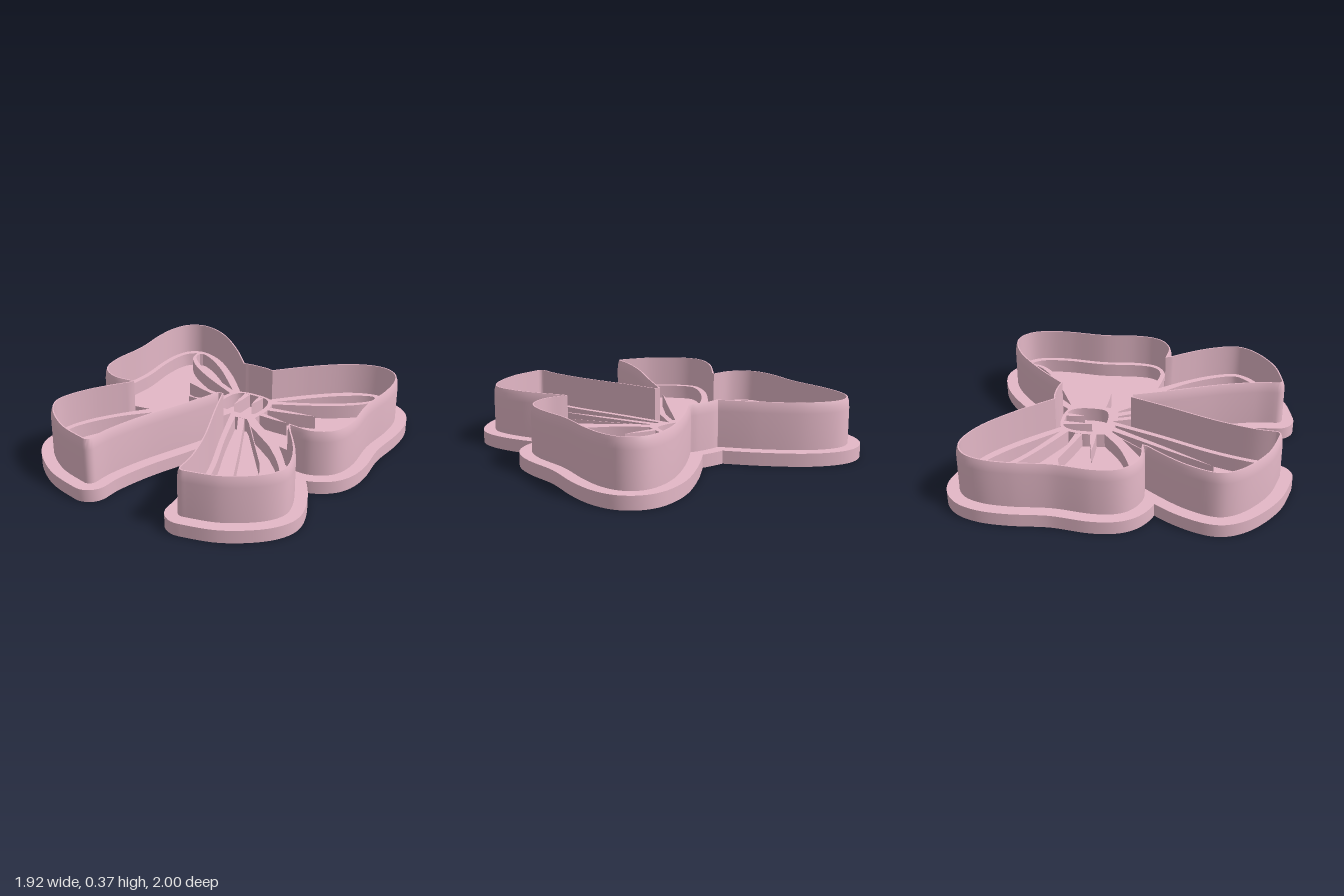
import * as THREE from 'three';
import { toCreasedNormals } from 'three/addons/utils/BufferGeometryUtils.js';

const V = (p) => new THREE.Vector2(p[0], -p[1]); // plan [x, z] to shape plane

// Smooth runs joined at sharp corners; each run is a list of [x, z]
function path(runs, n = 12) {
  const out = [];
  for (const run of runs) {
    const pts = run.map(V);
    const s = pts.length === 2 ? new THREE.LineCurve(...pts) : new THREE.SplineCurve(pts);
    const samples = s.getSpacedPoints(n * (pts.length - 1));
    out.push(...(out.length ? samples.slice(1) : samples));
  }
  return out;
}

const flip = (ring) => ring.map((p) => new THREE.Vector2(-p.x, p.y));
const mirrorRing = (half) => [...half, ...flip(half.slice(1, -1).reverse())];

// Outward normals either side of point i of a clockwise ring
function normalsAt(ring, i) {
  const n = ring.length, p = ring[i];
  const left = (a, b) => { const t = b.clone().sub(a).normalize(); return new THREE.Vector2(-t.y, t.x); };
  return [left(ring[(i + n - 1) % n], p), left(p, ring[(i + 1) % n])];
}

function distanceToRing(ring, p) {
  let best = Infinity;
  ring.forEach((a, i) => {
    const ab = ring[(i + 1) % ring.length].clone().sub(a), ap = p.clone().sub(a);
    const t = THREE.MathUtils.clamp(ap.dot(ab) / ab.lengthSq(), 0, 1);
    best = Math.min(best, ap.sub(ab.multiplyScalar(t)).length());
  });
  return best;
}

// Grow a ring by d, rounding outer corners and trimming inner ones
function grow(ring, d) {
  const out = [];
  ring.forEach((p, i) => {
    const [a, b] = normalsAt(ring, i);
    const turn = Math.atan2(a.cross(b), a.dot(b));
    const steps = turn < -0.25 ? 8 : 0;
    if (!steps) out.push(a.add(b).normalize().multiplyScalar(d).add(p));
    else for (let k = 0; k <= steps; k++)
      out.push(a.clone().rotateAround(new THREE.Vector2(), turn * k / steps).multiplyScalar(d).add(p));
  });
  return out.filter((p) => distanceToRing(ring, p) > d * 0.985);
}

// Flat plate from y0 to y1, with holes; the outline runs anticlockwise so hole walls face inward
function plate(ring, holes, y0, y1) {
  const outline = THREE.ShapeUtils.isClockWise(ring) ? [...ring].reverse() : ring;
  const shape = new THREE.Shape(outline);
  shape.holes = holes.map((h) => new THREE.Path(h));
  const g = new THREE.ExtrudeGeometry(shape, { depth: y1 - y0, bevelEnabled: false });
  g.rotateX(-Math.PI / 2).translate(0, y0, 0);
  return toCreasedNormals(g, 0.5);
}

// Sweep a closed [inset, y] section round a ring
function sweep(ring, section) {
  const n = ring.length, m = section.length, pos = [], idx = [];
  for (const [inset, y] of section) {
    ring.forEach((p, i) => {
      const [a, b] = normalsAt(ring, i);
      const mid = a.clone().add(b).normalize();
      const q = p.clone().addScaledVector(mid, -inset / Math.max(0.5, mid.dot(a)));
      pos.push(q.x, y, -q.y);
    });
  }
  for (let j = 0; j < m; j++) for (let i = 0; i < n; i++) {
    const k = (i + 1) % n, r = j * n, s = ((j + 1) % m) * n;
    idx.push(r + i, s + i, r + k, r + k, s + i, s + k);
  }
  const g = new THREE.BufferGeometry();
  g.setAttribute('position', new THREE.Float32BufferAttribute(pos, 3));
  g.setIndex(idx);
  return toCreasedNormals(g, 0.5);
}

// Leaf-like outline from a base edge a-b to a tip
function leaf(a, b, tip) {
  const [A, B, T] = [a, b, tip].map(V);
  const mid = A.clone().lerp(B, 0.5);
  const at = (p) => mid.clone().lerp(T, 0.55).addScaledVector(p.clone().sub(mid), 0.62);
  return [A, at(A), T, at(B), B];
}

export function createModel() {
  const group = new THREE.Group();
  const pink = new THREE.MeshStandardMaterial({ color: 0xe3b7c6 });
  pink.name = 'dusty pink';
  const add = (name, geometry) => {
    const mesh = new THREE.Mesh(geometry, pink);
    mesh.name = name;
    group.add(mesh);
  };

  // Bow outline: neck, loop, tail, inner edge of tail
  const bow = mirrorRing(path([
    [[0, -0.464], [0.06, -0.461], [0.115, -0.447]],
    [[0.115, -0.447], [0.3, -0.645], [0.5, -0.812], [0.67, -0.88], [0.775, -0.845], [0.825, -0.74],
      [0.835, -0.58], [0.817, -0.34], [0.838, -0.1], [0.808, 0.04], [0.71, 0.108], [0.6, 0.107], [0.48, 0.09]],
    [[0.48, 0.09], [0.6, 0.24], [0.705, 0.4], [0.763, 0.55], [0.752, 0.64], [0.67, 0.735], [0.52, 0.83], [0.335, 0.88]],
    [[0.335, 0.88], [0.32, 0.74], [0.25, 0.5], [0.12, 0.18], [0, -0.14]],
  ]));

  // Cutter: base flange and tapered blade
  const bladeInner = grow(bow, 0.025);
  add('cutterFlange', plate(grow(bow, 0.12), [bladeInner], 0, 0.08));
  add('cutterBlade', sweep(grow(bow, 0.045), [
    [0, 0.07], [0, 0.3], [0.004, 0.34], [0.012, 0.365], [0.02, 0.365], [0.02, 0.07],
  ]));

  // Stamp: flat plate with a raised rim left around sunken floors
  const loopFloor = path([
    [[0.16, -0.39], [0.4, -0.515], [0.58, -0.63], [0.69, -0.74], [0.72, -0.84]],
    [[0.72, -0.84], [0.782, -0.76], [0.8, -0.58], [0.782, -0.34], [0.8, -0.1], [0.782, 0.025],
      [0.7, 0.08], [0.55, 0.06], [0.33, -0.035], [0.165, -0.16]],
    [[0.165, -0.16], [0.178, -0.25], [0.178, -0.32], [0.16, -0.39]],
  ], 6).slice(0, -1);
  const foldFloor = path([
    [[0.17, -0.44], [0.4, -0.67], [0.56, -0.795], [0.65, -0.842], [0.69, -0.84], [0.69, -0.79],
      [0.64, -0.725], [0.52, -0.63], [0.38, -0.545], [0.17, -0.44]],
  ], 6).slice(0, -1);
  const tailFloor = path([
    [[0.05, -0.11], [0.13, -0.12]],
    [[0.13, -0.12], [0.2, -0.05], [0.31, 0.03]],
    [[0.31, 0.03], [0.43, 0.12]],
    [[0.43, 0.12], [0.57, 0.27], [0.675, 0.43], [0.728, 0.56], [0.715, 0.63], [0.63, 0.72], [0.5, 0.805], [0.36, 0.848]],
    [[0.36, 0.848], [0.352, 0.74], [0.285, 0.5], [0.155, 0.18], [0.05, -0.11]],
  ], 6).slice(0, -1);
  const knotFloor = mirrorRing(path([
    [[0, -0.442], [0.09, -0.435], [0.132, -0.385], [0.145, -0.3], [0.132, -0.21], [0.08, -0.178], [0, -0.17]],
  ], 6));
  const sideFloors = [loopFloor, foldFloor, tailFloor];
  add('stampPlate', plate(bow, [], 0, 0.08));
  add('stampRim', plate(bow, [...sideFloors, ...sideFloors.map(flip), knotFloor], 0.08, 0.17));

  // Pleats: pointed ridges running out from the knot
  const pleats = [
    leaf([0.165, -0.34], [0.165, -0.295], [0.48, -0.385]),
    leaf([0.165, -0.25], [0.16, -0.21], [0.37, -0.207]),
    leaf([0.06, -0.13], [0.11, -0.13], [0.43, 0.535]),
    leaf([0.13, -0.13], [0.17, -0.09], [0.48, 0.325]),
  ];
  for (const p of pleats) {
    add('leftPleat', plate(p, [], 0.075, 0.169));
    add('rightPleat', plate(flip(p), [], 0.075, 0.169));
  }
  const knotPleats = [
    leaf([-0.075, -0.45], [-0.035, -0.45], [-0.05, -0.26]),
    leaf([0.03, -0.45], [0.065, -0.45], [0.045, -0.325]),
  ];
  for (const p of knotPleats) add('knotPleat', plate(p, [], 0.075, 0.169));

  return group;
}
